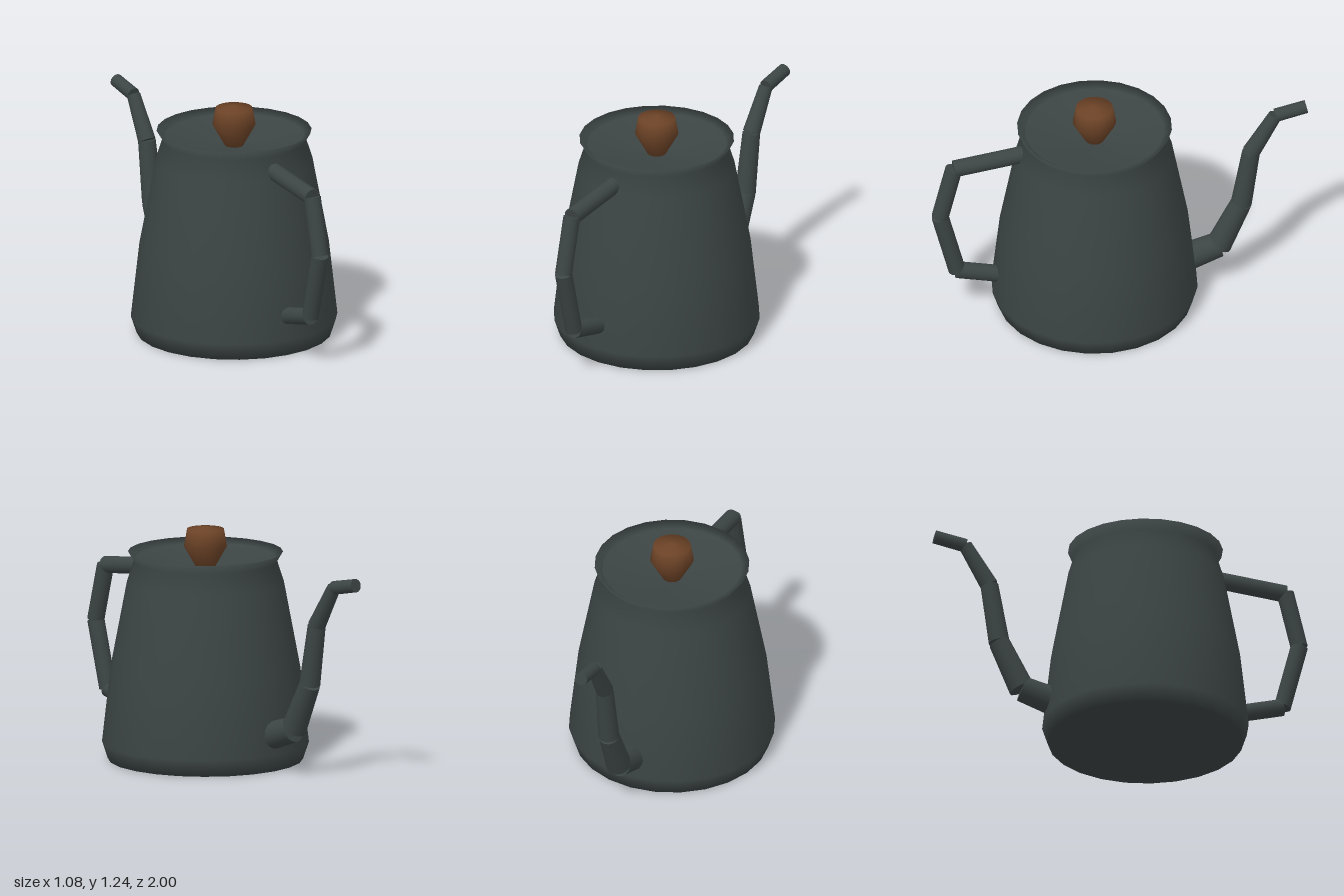
import * as THREE from 'three';

const BODY_Z = 0.135; // axis of the pot

function lathe(name, profile, material, segments) {
  const points = profile.map(([r, y]) => new THREE.Vector2(r, y));
  const mesh = new THREE.Mesh(new THREE.LatheGeometry(points, segments), material);
  mesh.name = name;
  mesh.position.z = BODY_Z;
  return mesh;
}

// Chain of straight tapered tubes through [z, y, radius] joints
function tubeChain(name, joints, material) {
  const group = new THREE.Group();
  group.name = name;
  for (let i = 0; i < joints.length - 1; i++) {
    const [z0, y0, r0] = joints[i];
    const [z1, y1, r1] = joints[i + 1];
    const a = new THREE.Vector3(0, y0, z0);
    const b = new THREE.Vector3(0, y1, z1);
    const dir = b.clone().sub(a);
    const tube = new THREE.Mesh(new THREE.CylinderGeometry(r1, r0, dir.length(), 16), material);
    tube.name = name + 'Segment' + (i + 1);
    tube.position.copy(a).add(b).multiplyScalar(0.5);
    tube.quaternion.setFromUnitVectors(new THREE.Vector3(0, 1, 0), dir.normalize());
    group.add(tube);
  }
  return group;
}

export function createModel() {
  const metal = new THREE.MeshStandardMaterial({ name: 'dark metal', color: 0x3c4444 });
  const wood = new THREE.MeshStandardMaterial({ name: 'brown wood', color: 0x6b4226 });

  const kettle = new THREE.Group();
  kettle.name = 'kettle';

  // Tapered pot with a flared rim
  kettle.add(lathe('body', [
    [0, 0], [0.51, 0], [0.54, 0.09], [0.495, 0.49], [0.41, 0.94],
    [0.375, 1.05], [0.405, 1.1], [0.365, 1.07],
  ], metal, 24));

  // Dished lid sunk inside the rim
  kettle.add(lathe('lid', [[0.367, 1.07], [0.2, 1.035], [0, 1.01]], metal, 24));

  // Faceted-profile wooden knob
  kettle.add(lathe('knob', [
    [0, 1.005], [0.045, 1.01], [0.113, 1.13], [0.097, 1.22], [0, 1.236],
  ], wood, 20));

  // Handle at the front, straight tube sections
  kettle.add(tubeChain('handle', [
    [0.5, 0.972, 0.045], [0.882, 0.925, 0.045], [0.955, 0.625, 0.045],
    [0.865, 0.27, 0.045], [0.58, 0.2, 0.045],
  ], metal));

  // Gooseneck spout at the back, narrowing to the tip
  kettle.add(tubeChain('spout', [
    [-0.3, 0.17, 0.078], [-0.525, 0.245, 0.067], [-0.645, 0.5, 0.055],
    [-0.697, 0.822, 0.047], [-0.825, 1.04, 0.036], [-0.99, 1.075, 0.035],
  ], metal));

  return kettle;
}
